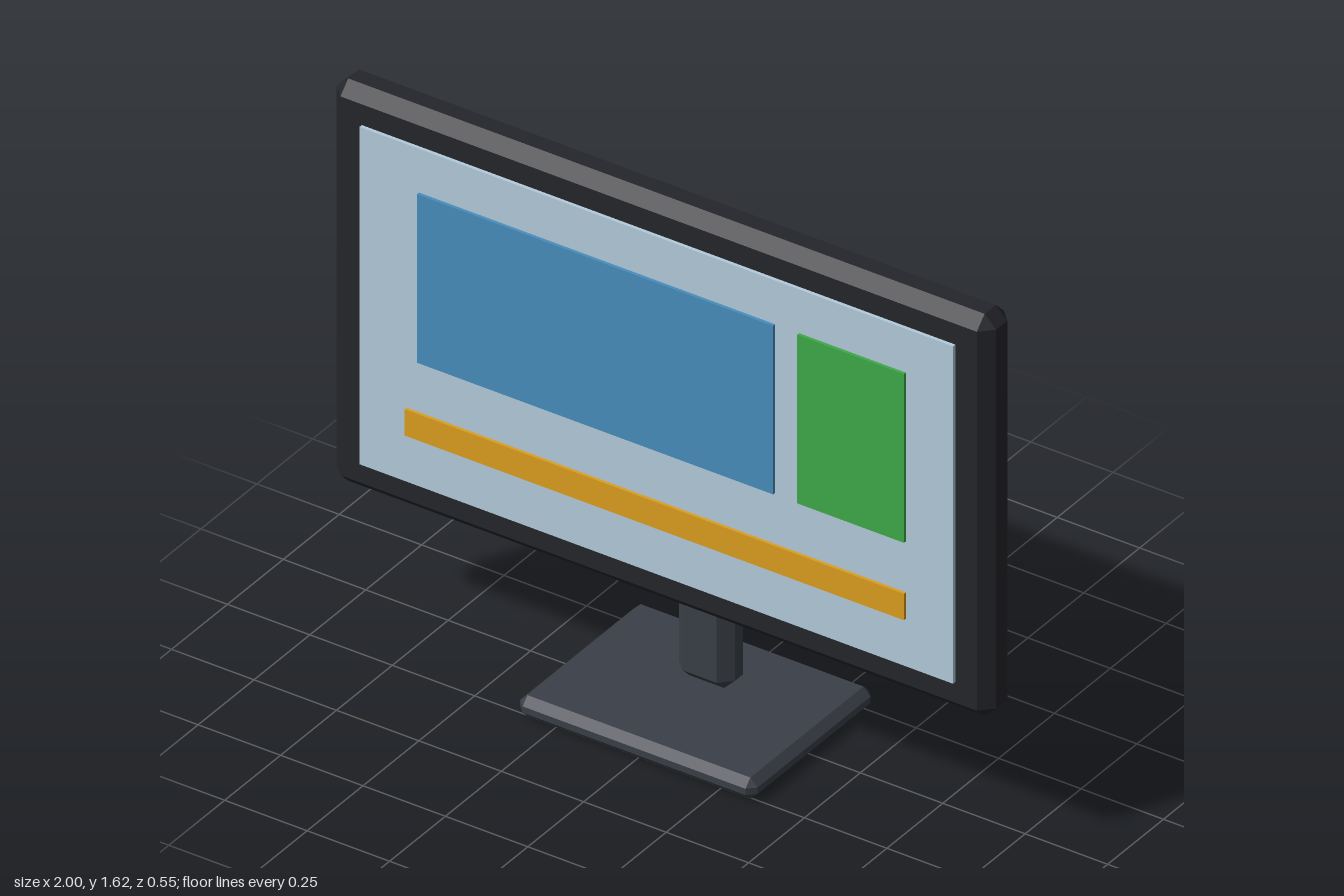
import * as THREE from 'three';
import { ConvexGeometry } from 'three/addons/geometries/ConvexGeometry.js';

// Box between two corners with every edge cut at 45 degrees
function chamferBox(min, max, c) {
  const h = max.map((v, i) => (v - min[i]) / 2);
  const points = [];
  for (const sx of [-1, 1]) for (const sy of [-1, 1]) for (const sz of [-1, 1]) {
    for (let axis = 0; axis < 3; axis++) {
      // one point per face meeting at this corner
      const p = h.map((v, i) => (i === axis ? v : v - c));
      points.push(new THREE.Vector3(sx * p[0], sy * p[1], sz * p[2]));
    }
  }
  return new ConvexGeometry(points);
}

export function createModel() {
  const model = new THREE.Group();
  model.name = 'monitor';

  const casing = new THREE.MeshStandardMaterial({ color: 0x25262b });
  const metal = new THREE.MeshStandardMaterial({ color: 0x3a3f47 });
  const paint = (color) => new THREE.MeshStandardMaterial({ color });

  // Adds a box part given by its lowest and highest corners
  function addBox(name, material, min, max, chamfer = 0) {
    const size = max.map((v, i) => v - min[i]);
    const geometry = chamfer ? chamferBox(min, max, chamfer) : new THREE.BoxGeometry(...size);
    const mesh = new THREE.Mesh(geometry, material);
    mesh.name = name;
    mesh.position.set(...max.map((v, i) => (v + min[i]) / 2));
    model.add(mesh);
  }

  // Stand
  addBox('base', metal, [-0.36, 0, -0.275], [0.36, 0.063, 0.275], 0.022);
  addBox('neck', metal, [-0.085, 0.063, -0.12], [0.085, 0.58, -0.018], 0.033);

  // Display housing and screen
  addBox('housing', casing, [-1, 0.41, 0.045], [1, 1.615, 0.165], 0.035);
  addBox('screen', paint(0xb4cbdc), [-0.9, 0.507, 0.155], [0.9, 1.518, 0.175]);

  // Raised coloured tiles on the screen
  addBox('largeTile', paint(0x478ebd), [-0.72, 0.882, 0.165], [0.36, 1.387, 0.184]);
  addBox('smallTile', paint(0x3faa48), [0.433, 0.882, 0.165], [0.757, 1.387, 0.184]);
  addBox('bottomBar', paint(0xdd9e20), [-0.757, 0.65, 0.165], [0.757, 0.729, 0.184]);

  return model;
}
